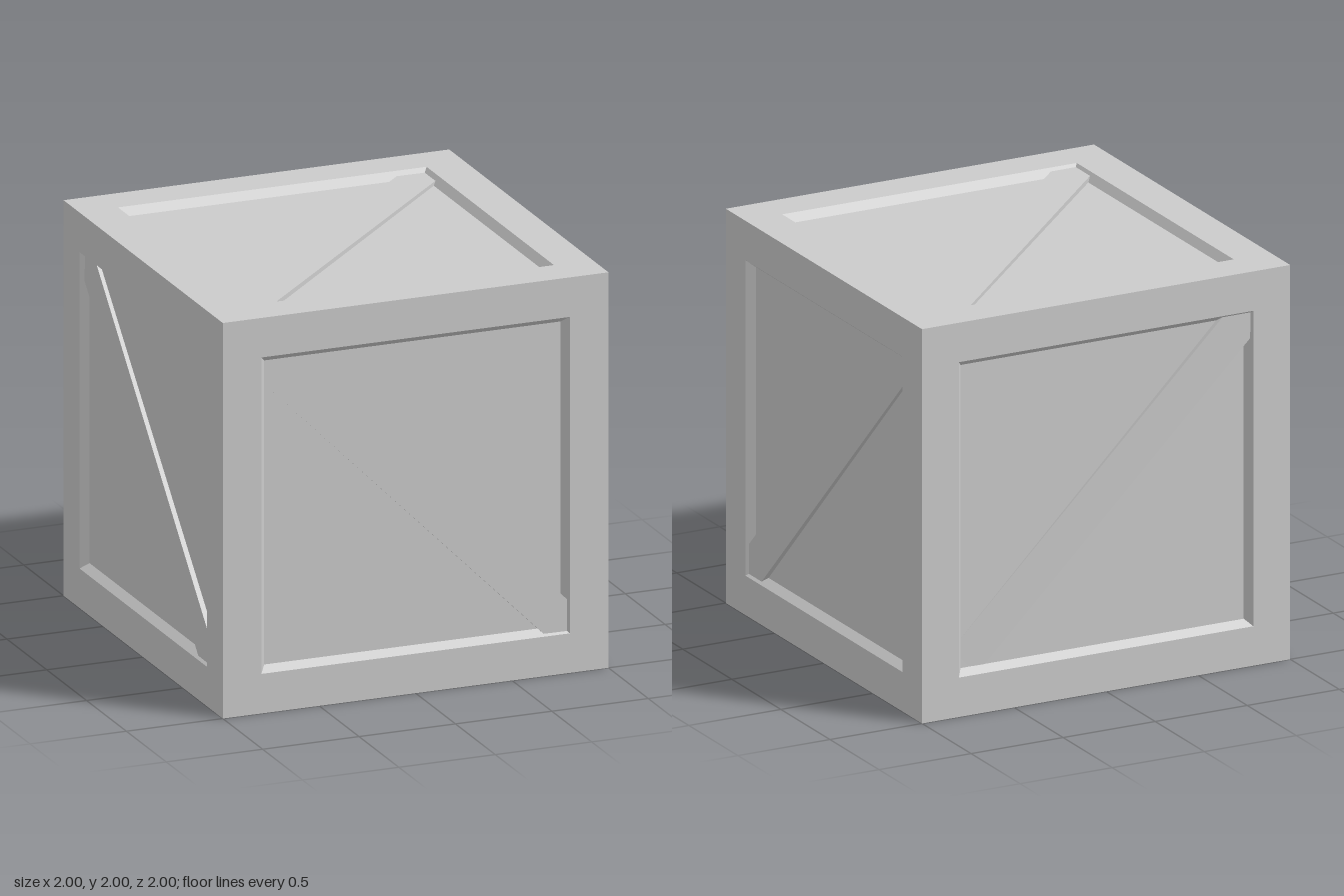
import * as THREE from 'three';

const OPENING = 0.8, INNER = 0.768, PANEL = 0.96;

// Square rim with a sloping inner lip, facing +z
function frameGeometry() {
  const points = [[1, 1], [OPENING, 1], [INNER, PANEL - 0.001]]
    .map(([r, h]) => new THREE.Vector2(r * Math.SQRT2, h));
  const geo = new THREE.LatheGeometry(points, 4, Math.PI / 4).toNonIndexed();
  geo.rotateX(Math.PI / 2);
  geo.computeVertexNormals();
  return geo;
}

// Diagonal board cut to the opening; its height changes from the left end to the right end
function braceGeometry(dir, shift, leftZ, rightZ) {
  const e = OPENING, w = 0.14;
  const corners = [
    [-e, -e], [-e + w - shift, -e], [e, e - w + shift],
    [e, e], [e - w - shift, e], [-e, -e + w + shift],
  ];
  const shape = new THREE.Shape(corners.map(([x, y]) => new THREE.Vector2(x * dir, y)));
  const geo = new THREE.ExtrudeGeometry(shape, { depth: 1, bevelEnabled: false });
  const p = geo.attributes.position;
  for (let i = 0; i < p.count; i++) {
    // Height follows the position along the diagonal
    const along = (p.getX(i) + dir * p.getY(i)) / 2;
    const top = THREE.MathUtils.mapLinear(along, -e, e, leftZ, rightZ);
    p.setZ(i, p.getZ(i) > 0.5 ? top : 0.93);
  }
  geo.computeVertexNormals();
  return geo;
}

export function createModel() {
  const model = new THREE.Group();
  model.name = 'crate';
  const material = new THREE.MeshStandardMaterial({ color: 0xcccccc, flatShading: true });
  const add = (parent, name, geo) => {
    const mesh = new THREE.Mesh(geo, material);
    mesh.name = name;
    parent.add(mesh);
    return mesh;
  };

  // Recessed panels are the faces of one inner box
  add(model, 'panels', new THREE.BoxGeometry(PANEL * 2, PANEL * 2, PANEL * 2)).position.y = 1;

  // Each side: name, rotation x, rotation y, diagonal direction, shift, brace heights
  const H = Math.PI / 2;
  const sides = [
    ['front', 0, 0, -1, 0.02, 0.959, 0.988],
    ['right', 0, H, 1, 0.01, 0.987, 0.979],
    ['back', 0, 2 * H, 1, 0.01, 0.959, 0.988],
    ['left', 0, -H, -1, 0.01, 0.979, 0.987],
    ['top', -H, 0, 1, 0.005, 0.985, 0.978],
    ['bottom', H, 0, -1, 0.005, 0.98, 0.985],
  ];
  const frame = frameGeometry();
  for (const [name, rx, ry, dir, shift, leftZ, rightZ] of sides) {
    const side = new THREE.Group();
    side.name = name + 'Side';
    side.rotation.set(rx, ry, 0);
    side.position.y = 1;
    add(side, name + 'Frame', frame);
    add(side, name + 'Brace', braceGeometry(dir, shift, leftZ, rightZ));
    model.add(side);
  }
  return model;
}
